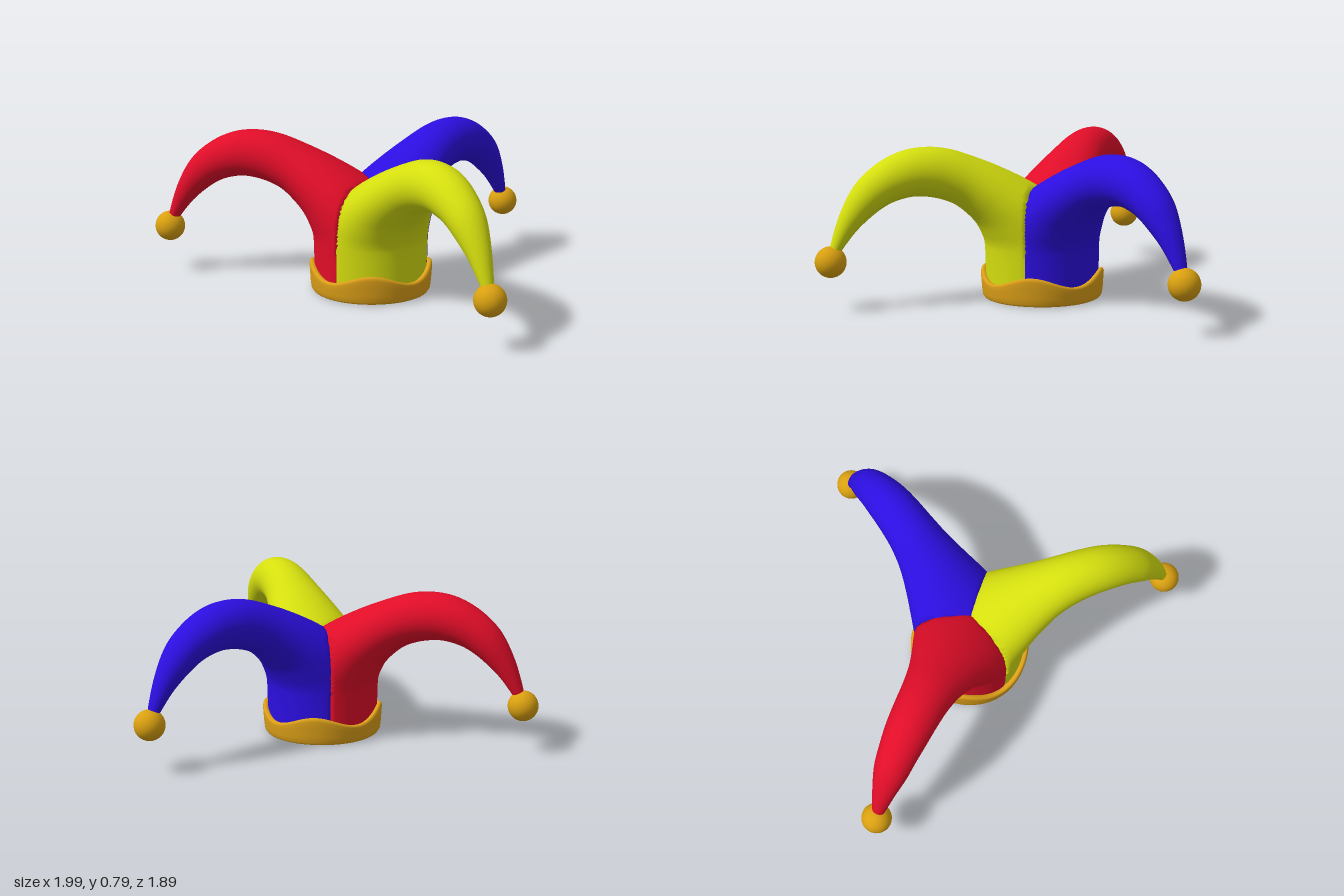
import * as THREE from 'three';
import { mergeVertices } from 'three/addons/utils/BufferGeometryUtils.js';

const rad = THREE.MathUtils.degToRad;

// Horn sections: [back radius, back y, front radius, front y, half width]
const SECTIONS = [
  [-0.285, 0.04, 0.285, 0.04, 0.285],
  [-0.285, 0.15, 0.287, 0.15, 0.285],
  [-0.285, 0.27, 0.29, 0.25, 0.285],
  [-0.2, 0.38, 0.295, 0.29, 0.27],
  [-0.08, 0.49, 0.31, 0.33, 0.25],
  [0.05, 0.58, 0.34, 0.385, 0.222],
  [0.2, 0.66, 0.39, 0.44, 0.185],
  [0.35, 0.725, 0.46, 0.495, 0.15],
  [0.48, 0.77, 0.55, 0.53, 0.13],
  [0.6, 0.785, 0.65, 0.545, 0.12],
  [0.72, 0.77, 0.73, 0.535, 0.112],
  [0.84, 0.715, 0.8, 0.51, 0.1],
  [0.95, 0.62, 0.87, 0.465, 0.086],
  [1.03, 0.48, 0.95, 0.395, 0.059],
  [1.083, 0.32, 1.02, 0.31, 0.034],
  [1.09, 0.25, 1.06, 0.25, 0.02],
];
const backCurve = new THREE.CatmullRomCurve3(
  SECTIONS.map(s => new THREE.Vector3(s[0], s[1], s[4])), false, 'catmullrom', 0.5);
const frontCurve = new THREE.CatmullRomCurve3(
  SECTIONS.map(s => new THREE.Vector3(s[2], s[3], 0)), false, 'catmullrom', 0.5);

// Elliptical loft trimmed to its wedge of the hat; local +x points along the horn
function hornGeometry(plusAngle, minusAngle) {
  const rows = 90, sides = 112;
  const pos = [], trimmed = [], index = [];
  for (let i = 0; i <= rows; i++) {
    const b = backCurve.getPoint(i / rows), f = frontCurve.getPoint(i / rows);
    for (let j = 0; j < sides; j++) {
      const a = (j / sides) * Math.PI * 2;
      const k = (1 + Math.cos(a)) / 2;
      let u = b.x + (f.x - b.x) * k;
      let y = b.y + (f.y - b.y) * k;
      let v = b.z * Math.sin(a);
      const limit = Math.max(u, 0) * Math.tan(v > 0 ? plusAngle : minusAngle);
      const cut = u <= 0 || Math.abs(v) > limit;
      if (u < 0) {
        y = b.y + (f.y - b.y) * (-b.x / (f.x - b.x));
        u = 0;
      }
      if (cut) v = Math.sign(v) * limit;
      pos.push(u, y, v);
      trimmed.push(cut);
    }
  }
  for (let i = 0; i < rows; i++) {
    for (let j = 0; j < sides; j++) {
      const p = i * sides + j, q = i * sides + (j + 1) % sides;
      const r = p + sides, s = q + sides;
      // leave the hat hollow: no walls along the seams
      if (trimmed[p] && trimmed[q] && trimmed[r] && trimmed[s]) continue;
      index.push(p, r, q, q, r, s);
    }
  }
  const g = new THREE.BufferGeometry();
  g.setAttribute('position', new THREE.Float32BufferAttribute(pos, 3));
  g.setIndex(index);
  g.computeVertexNormals();
  return g;
}

// Rounded ring whose top edge rises and falls in four waves
function bandGeometry() {
  const profile = [
    [0.268, 0.012], [0.275, 0.002], [0.285, 0], [0.296, 0.002], [0.303, 0.012],
    [0.307, 0.04], [0.31, 0.08], [0.312, 0.105], [0.309, 0.115], [0.302, 0.12],
    [0.29, 0.118], [0.28, 0.11], [0.272, 0.1], [0.268, 0.06], [0.268, 0.012],
  ].map(p => new THREE.Vector2(p[0], p[1]));
  let g = new THREE.LatheGeometry(profile, 96);
  const p = g.attributes.position;
  for (let i = 0; i < p.count; i++) {
    const angle = Math.atan2(p.getZ(i), p.getX(i));
    const wave = Math.cos(4 * (angle - rad(75)));
    p.setY(i, p.getY(i) * (1 + 0.23 * wave));
  }
  g.deleteAttribute('uv');
  g.deleteAttribute('normal');
  g = mergeVertices(g, 1e-5);
  g.computeVertexNormals();
  return g;
}

export function createModel() {
  const model = new THREE.Group();
  model.name = 'jesterHat';
  const hat = new THREE.Group();
  hat.name = 'hat';
  hat.position.set(0.155, 0, 0.08);
  model.add(hat);

  const gold = new THREE.MeshStandardMaterial({ color: 0xdda018 });
  const bellGold = new THREE.MeshStandardMaterial({ color: 0xd9a010 });

  // Horns: direction seen from above, and wedge half-angles to each neighbour
  const horns = [
    { name: 'red', color: 0xe00d28, angle: 180, plus: 59, minus: 67 },
    { name: 'yellow', color: 0xd4de0e, angle: 46, plus: 67, minus: 54 },
    { name: 'blue', color: 0x2c0ee0, angle: -62, plus: 54, minus: 59 },
  ];
  for (const h of horns) {
    const arm = new THREE.Group();
    arm.name = h.name + 'Arm';
    arm.rotation.y = -rad(h.angle);
    const horn = new THREE.Mesh(
      hornGeometry(rad(h.plus), rad(h.minus)),
      new THREE.MeshStandardMaterial({ color: h.color, side: THREE.DoubleSide }));
    horn.name = h.name + 'Horn';
    const bell = new THREE.Mesh(new THREE.SphereGeometry(0.077, 32, 24), bellGold);
    bell.name = h.name + 'Bell';
    bell.position.set(1.083, 0.245, 0);
    arm.add(horn, bell);
    hat.add(arm);
  }

  // Brim band
  const band = new THREE.Mesh(bandGeometry(), gold);
  band.name = 'brimBand';
  hat.add(band);
  return model;
}
